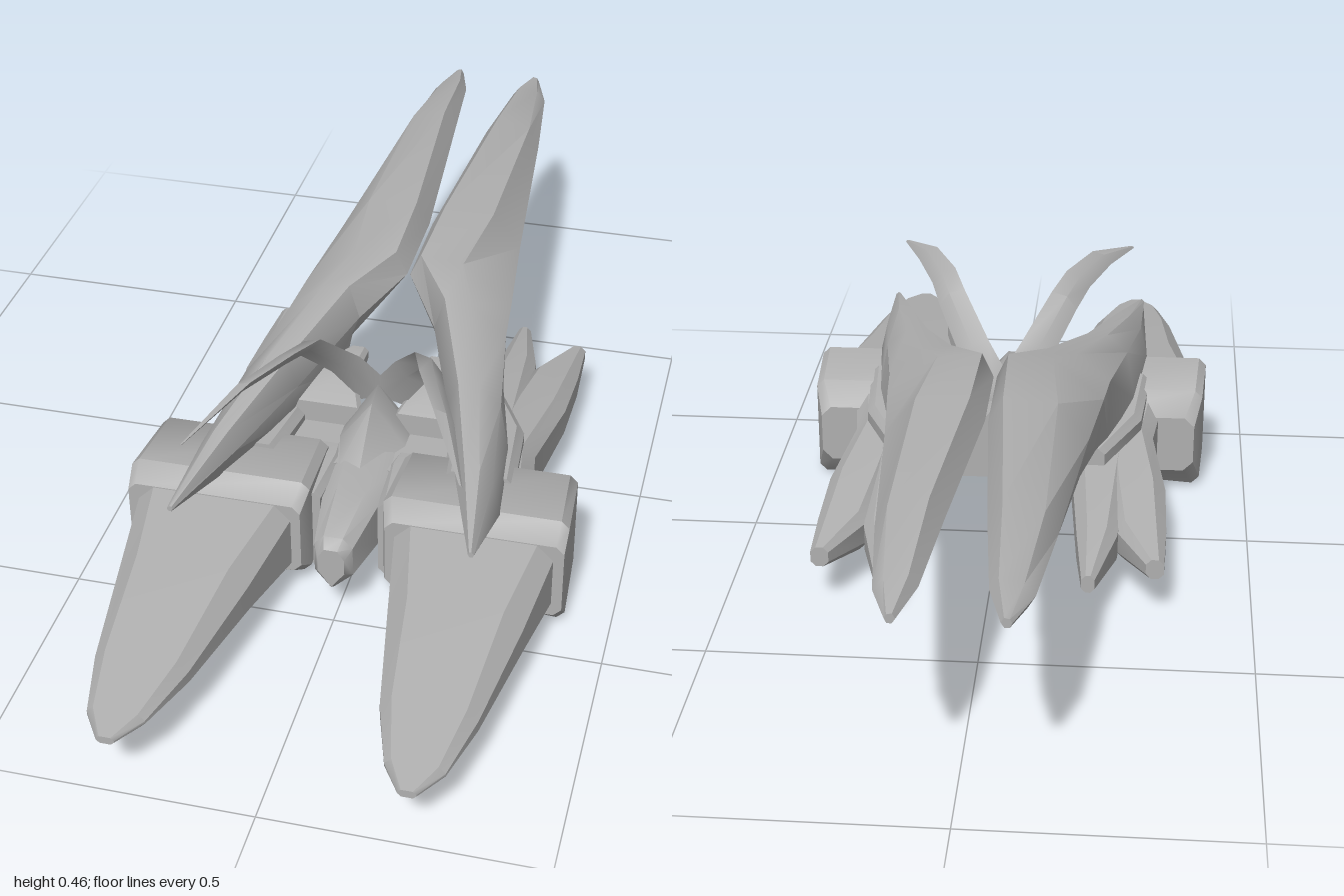
import * as THREE from 'three';
import { toCreasedNormals } from 'three/addons/utils/BufferGeometryUtils.js';

// Closed loft through cross-sections [z, [[x, y], ...]] (counter-clockwise, z rising).
function loft(sections, side = 1) {
  const n = sections[0][1].length;
  const pos = [], idx = [];
  for (const [z, pts] of sections) {
    const ring = side > 0 ? pts : [...pts].reverse();
    for (const [x, y] of ring) pos.push(x * side, y, z);
  }
  const last = (sections.length - 1) * n;
  for (let i = 0; i < last; i += n) {
    for (let j = 0; j < n; j++) {
      const k = (j + 1) % n;
      idx.push(i + j, i + k, i + n + k, i + j, i + n + k, i + n + j);
    }
  }
  for (let j = 1; j < n - 1; j++) {
    idx.push(0, j + 1, j);
    idx.push(last, last + j, last + j + 1);
  }
  const g = new THREE.BufferGeometry();
  g.setAttribute('position', new THREE.Float32BufferAttribute(pos, 3));
  g.setIndex(idx);
  return toCreasedNormals(g, 0.7);
}

// Chamfered rectangle; lift raises the inner (low x) bottom side.
function slab(z, x0, x1, y0, y1, c, lift = 0) {
  return [z, [
    [x0 + c, y0 + lift], [x1 - c, y0], [x1, y0 + c], [x1, y1 - c],
    [x1 - c, y1], [x0 + c, y1], [x0, y1 - c], [x0, y0 + c + lift],
  ]];
}

// Thin diamond section for the curved horns.
function blade(x, y, z, s) {
  const w = [0.03 * s, -0.022 * s], n = [0.007 * s, 0.011 * s];
  return [z, [[x + w[0], y + w[1]], [x + n[0], y + n[1]], [x - w[0], y - w[1]], [x - n[0], y - n[1]]]];
}

export function createModel() {
  const group = new THREE.Group();
  const hull = new THREE.MeshStandardMaterial({ color: 0xb0b0b0 });
  hull.name = 'hullGrey';
  const add = (name, geometry) => {
    const mesh = new THREE.Mesh(geometry, hull);
    mesh.name = name;
    group.add(mesh);
  };

  for (const [label, side] of [['left', 1], ['right', -1]]) {
    // engine block with a flared outer end
    add(label + 'EngineBlock', loft([
      slab(0.2, 0.1, 0.39, 0.055, 0.175, 0.02),
      slab(0.245, 0.075, 0.405, 0.005, 0.218, 0.015, 0.02),
      slab(0.395, 0.07, 0.414, 0.001, 0.228, 0.015, 0.02),
      slab(0.43, 0.08, 0.412, 0.035, 0.195, 0.015, 0.01),
    ], side));

    // inner cheek between engine and pod
    add(label + 'Cheek', loft([
      slab(0.18, 0.05, 0.12, 0.055, 0.19, 0.015),
      slab(0.26, 0.045, 0.12, 0.03, 0.2, 0.012),
      slab(0.38, 0.055, 0.12, 0.028, 0.195, 0.012),
    ], side));

    // long forward prong
    add(label + 'Prong', loft([
      slab(0.41, 0.095, 0.395, 0.03, 0.195, 0.03),
      slab(0.6, 0.128, 0.37, 0.053, 0.175, 0.035),
      slab(0.82, 0.168, 0.337, 0.083, 0.145, 0.02),
      slab(0.94, 0.205, 0.308, 0.098, 0.128, 0.012),
      slab(0.995, 0.24, 0.272, 0.105, 0.12, 0.006),
    ], side));

    // large swept wing with a steep outer flank
    add(label + 'Wing', loft([
      [-1, [[0.086, 0.376], [0.094, 0.377], [0.098, 0.385], [0.094, 0.392], [0.085, 0.394], [0.08, 0.385]]],
      [-0.91, [[0.08, 0.359], [0.115, 0.36], [0.128, 0.382], [0.11, 0.403], [0.07, 0.411], [0.055, 0.39]]],
      [-0.7, [[0.09, 0.335], [0.137, 0.34], [0.152, 0.378], [0.13, 0.42], [0.06, 0.438], [0.035, 0.4]]],
      [-0.3, [[0.11, 0.265], [0.172, 0.285], [0.187, 0.36], [0.13, 0.43], [0.03, 0.437], [0.003, 0.39]]],
      [-0.1, [[0.12, 0.225], [0.195, 0.243], [0.208, 0.35], [0.11, 0.43], [0.025, 0.438], [0.003, 0.39]]],
      [0, [[0.13, 0.2], [0.215, 0.222], [0.217, 0.343], [0.15, 0.4], [0.095, 0.41], [0.075, 0.34]]],
      [0.2, [[0.18, 0.205], [0.265, 0.215], [0.247, 0.32], [0.205, 0.357], [0.165, 0.36], [0.145, 0.3]]],
      [0.4, [[0.24, 0.22], [0.287, 0.226], [0.272, 0.29], [0.248, 0.32], [0.22, 0.324], [0.205, 0.285]]],
      [0.585, [[0.269, 0.274], [0.275, 0.275], [0.277, 0.28], [0.272, 0.285], [0.268, 0.284], [0.266, 0.279]]],
    ], side));

    // root between wing and fins
    add(label + 'Root', loft([
      slab(-0.02, 0.165, 0.21, 0.15, 0.205, 0.012),
      slab(0.12, 0.14, 0.28, 0.13, 0.22, 0.015),
      slab(0.3, 0.16, 0.295, 0.15, 0.23, 0.015),
    ], side));

    // small link from spine to wing
    add(label + 'WingLink', loft([
      slab(-0.01, 0.06, 0.1, 0.235, 0.265, 0.008),
      slab(0.08, 0.06, 0.15, 0.21, 0.272, 0.01),
      slab(0.16, 0.03, 0.17, 0.18, 0.24, 0.01),
    ], side));

    // paired rear fins
    add(label + 'InnerFin', loft([
      slab(-0.375, 0.18, 0.205, 0.083, 0.118, 0.008),
      slab(-0.23, 0.165, 0.242, 0.055, 0.145, 0.02),
      slab(0, 0.145, 0.26, 0.063, 0.172, 0.025),
      slab(0.24, 0.12, 0.28, 0.045, 0.195, 0.025),
    ], side));
    add(label + 'OuterFin', loft([
      slab(-0.318, 0.298, 0.332, 0.085, 0.125, 0.01),
      slab(-0.2, 0.236, 0.335, 0.06, 0.143, 0.02),
      slab(-0.06, 0.215, 0.332, 0.062, 0.165, 0.025),
      slab(0.13, 0.2, 0.305, 0.06, 0.185, 0.025),
      slab(0.24, 0.2, 0.32, 0.045, 0.2, 0.025),
    ], side));

    // curved horn sweeping forward from the spine
    add(label + 'Horn', loft([
      blade(0.012, 0.255, 0.12, 1),
      blade(0.062, 0.335, 0.155, 0.95),
      blade(0.115, 0.418, 0.23, 0.85),
      blade(0.14, 0.435, 0.31, 0.8),
      blade(0.185, 0.442, 0.42, 0.65),
      blade(0.248, 0.413, 0.57, 0.1),
    ], side));
  }

  // arched yoke joining the two engines
  const half = [[0.1, 0.12], [0.14, 0.15], [0.2, 0.27], [0.18, 0.4], [0.1, 0.4], [0.08, 0.3], [0.05, 0.28]];
  const outline = [...half, ...half.map(([x, z]) => [-x, z]).reverse()];
  const yoke = new THREE.ExtrudeGeometry(
    new THREE.Shape(outline.map(([x, z]) => new THREE.Vector2(x, z))),
    { depth: 0.13, bevelEnabled: false });
  yoke.rotateX(Math.PI / 2).translate(0, 0.195, 0);
  add('yoke', yoke);

  // central pod with a keel
  const pod = (z, w, y0, y1) => [z, [[0, y0], [w, y0 + 0.035], [w, y1 - 0.02], [w * 0.5, y1], [-w * 0.5, y1], [-w, y1 - 0.02], [-w, y0 + 0.035]]];
  add('centralPod', loft([
    pod(0.13, 0.07, 0.08, 0.2),
    pod(0.25, 0.07, 0.06, 0.205),
    pod(0.36, 0.055, 0.055, 0.2),
    pod(0.49, 0.036, 0.075, 0.19),
    pod(0.51, 0.025, 0.09, 0.175),
  ]));

  // peaked spine carrying the horns
  const peak = (z, w, y) => [z, [[-w, 0.18], [w, 0.18], [0, y]]];
  add('spine', loft([peak(0.11, 0.06, 0.25), peak(0.15, 0.075, 0.295), peak(0.2, 0.075, 0.285), peak(0.3, 0.05, 0.2)]));

  return group;
}
